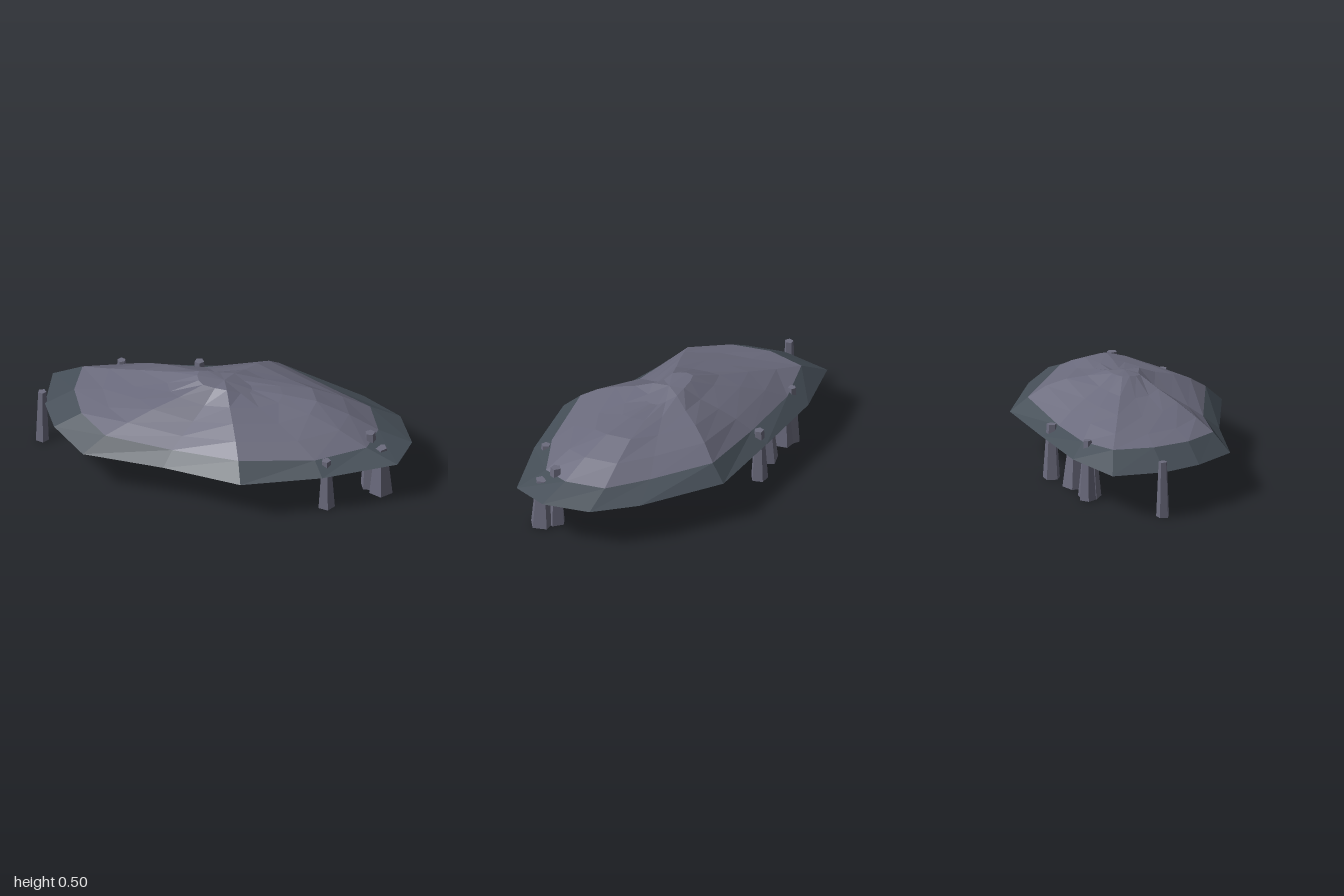
import * as THREE from 'three';

const rock = new THREE.MeshStandardMaterial({ color: 0x6b6b7d, flatShading: true, side: THREE.DoubleSide });
rock.name = 'grey rock';
const slate = new THREE.MeshStandardMaterial({ color: 0x454e57, flatShading: true, side: THREE.DoubleSide });
slate.name = 'dark slate';

// Spokes of the canopy, running round from the back left corner
const outer = [
  [-0.965, 0.235, -0.25], [-0.645, 0.235, -0.4], [-0.22, 0.23, -0.484], [0.215, 0.23, -0.567],
  [0.665, 0.23, -0.38], [0.89, 0.235, -0.23], [1, 0.24, 0], [0.965, 0.235, 0.21],
  [0.605, 0.23, 0.405], [0.2, 0.233, 0.557], [-0.23, 0.217, 0.46], [-0.665, 0.225, 0.433],
  [-0.86, 0.235, 0.23], [-0.95, 0.235, 0.03],
];
const inner = [
  [-0.8, 0.325, -0.215], [-0.56, 0.3, -0.33], [-0.21, 0.28, -0.39], [0.195, 0.31, -0.475],
  [0.51, 0.295, -0.32], [0.735, 0.295, -0.2], [0.82, 0.295, 0], [0.79, 0.285, 0.16],
  [0.55, 0.285, 0.33], [0.17, 0.32, 0.465], [-0.2, 0.28, 0.38], [-0.56, 0.31, 0.363],
  [-0.72, 0.32, 0.2], [-0.8, 0.325, 0],
];
// Heights of each spoke at the shrinking rings of the dome
const ringScale = [0.81, 0.6, 0.38, 0.18];
const heights = [
  [0.36, 0.405, 0.45, 0.505], [0.36, 0.41, 0.45, 0.5], [0.34, 0.39, 0.435, 0.49], [0.38, 0.425, 0.45, 0.485],
  [0.365, 0.415, 0.445, 0.465], [0.365, 0.425, 0.445, 0.455], [0.37, 0.43, 0.447, 0.455], [0.355, 0.41, 0.435, 0.455],
  [0.35, 0.4, 0.435, 0.465], [0.38, 0.42, 0.45, 0.49], [0.325, 0.37, 0.42, 0.485], [0.36, 0.41, 0.45, 0.495],
  [0.35, 0.395, 0.435, 0.5], [0.35, 0.39, 0.435, 0.505],
];

// Skin between successive rings of points, listed from outside to inside
function skin(rings) {
  const n = rings[0].length, index = [];
  for (let r = 0; r < rings.length - 1; r++) {
    for (let i = 0; i < n; i++) {
      const j = (i + 1) % n;
      const a = r * n + i, b = r * n + j, c = a + n, d = b + n;
      index.push(a, c, b, b, c, d);
    }
  }
  const g = new THREE.BufferGeometry();
  g.setAttribute('position', new THREE.Float32BufferAttribute(rings.flat(2), 3));
  g.setIndex(index);
  const flat = g.toNonIndexed();
  flat.computeVertexNormals();
  return flat;
}

function add(group, name, geometry, material) {
  const mesh = new THREE.Mesh(geometry, material);
  mesh.name = name;
  group.add(mesh);
  return mesh;
}

export function createModel() {
  const model = new THREE.Group();
  model.name = 'rockCanopy';

  // Thin open shell: dark sloping rim and paler dome
  const domeRings = [inner];
  ringScale.forEach((s, k) => {
    domeRings.push(inner.map(([x, , z], i) => [x * s, heights[i][k], z * s]));
  });
  domeRings.push(inner.map(() => [0, 0.495, 0]));
  add(model, 'canopyRim', skin([outer, inner]), slate);
  add(model, 'canopyDome', skin(domeRings), rock);

  // Tapered five-sided pillars: x, z, height, base radius, top radius, turn
  const pillars = [
    [-0.967, 0.017, 0.3, 0.036, 0.023, 0.3],
    [-0.612, -0.315, 0.325, 0.045, 0.022, 0.9],
    [-0.222, -0.43, 0.295, 0.047, 0.026, 0.2],
    [-0.385, -0.335, 0.265, 0.068, 0.034, 0.5],
    [-0.567, -0.295, 0.27, 0.064, 0.036, 0.1],
    [0.608, 0.32, 0.287, 0.046, 0.025, 0.4],
    [0.795, 0.088, 0.333, 0.055, 0.027, 0.7],
    [0.86, 0.128, 0.275, 0.064, 0.033, 0.2],
  ];
  pillars.forEach(([x, z, h, base, top, turn], i) => {
    const pillar = add(model, `pillar${i + 1}`, new THREE.CylinderGeometry(top, base, h, 5), rock);
    pillar.position.set(x, h / 2, z);
    pillar.rotation.y = turn;
  });
  return model;
}
